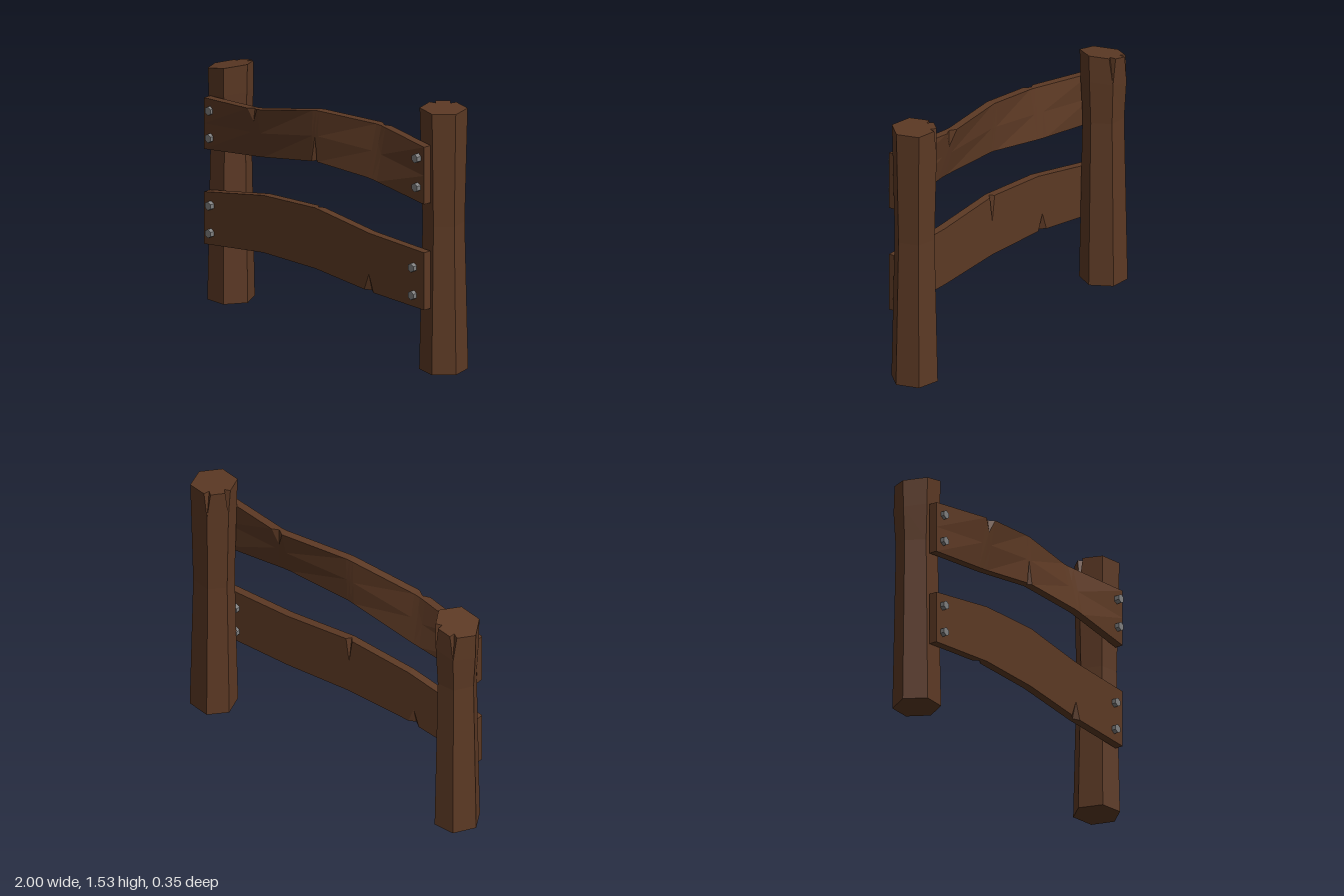
import * as THREE from 'three';

const wood = new THREE.MeshStandardMaterial({ color: 0x5c3924 });
wood.name = 'brown wood';
const iron = new THREE.MeshStandardMaterial({ color: 0x7f7f7f });
iron.name = 'grey iron';

// Collects triangles and quads into a flat-faceted mesh
function facets() {
  const pos = [];
  const tri = (a, b, c) => {
    const n = b.clone().sub(a).cross(c.clone().sub(a));
    if (n.length() > 1e-9) for (const p of [a, b, c]) pos.push(p.x, p.y, p.z);
  };
  const quad = (a, b, c, d, flip) => {
    if (flip) { tri(a, b, d); tri(b, c, d); } else { tri(a, b, c); tri(a, c, d); }
  };
  const mesh = (name) => {
    const g = new THREE.BufferGeometry();
    g.setAttribute('position', new THREE.Float32BufferAttribute(pos, 3));
    g.computeVertexNormals();
    const m = new THREE.Mesh(g, wood);
    m.name = name;
    return m;
  };
  return { tri, quad, mesh };
}

// Six-sided post with a waist, a sloping top and split corners
function makePost(name, corners, cracked, waistY, topY) {
  const f = facets();
  const cx = corners.reduce((s, p) => s + p[0], 0) / 6;
  const cz = corners.reduce((s, p) => s + p[1], 0) / 6;
  const ring = (scale, height, open) => {
    const pts = [];
    corners.forEach(([x, z], i) => {
      const at = (px, pz) => {
        const X = cx + (px - cx) * scale, Z = cz + (pz - cz) * scale;
        pts.push(new THREE.Vector3(X, height(X), Z));
      };
      if (!cracked.includes(i)) return at(x, z);
      const toward = (q, t) => at(x + (q[0] - x) * t, z + (q[1] - z) * t);
      toward(corners[(i + 5) % 6], open * 0.17);
      toward([cx, cz], open * 0.32);
      toward(corners[(i + 1) % 6], open * 0.17);
    });
    return pts;
  };
  const rings = [
    ring(1, () => 0, 0),
    ring(0.86, () => waistY, 0),
    ring(0.95, (x) => topY(x) - 0.16, 0),
    ring(0.98, topY, 1),
  ];
  const n = rings[0].length;
  for (let k = 0; k < 3; k++) {
    for (let i = 0; i < n; i++) {
      const j = (i + 1) % n;
      f.quad(rings[k][i], rings[k + 1][i], rings[k + 1][j], rings[k][j]);
    }
  }
  const bottom = new THREE.Vector3(cx, 0, cz), top = new THREE.Vector3(cx, topY(cx), cz);
  for (let i = 0; i < n; i++) {
    const j = (i + 1) % n;
    f.tri(bottom, rings[0][i], rings[0][j]);
    f.tri(top, rings[3][j], rings[3][i]);
  }
  return f.mesh(name);
}

// Board through sections [x, bottomY, topY, topZShift], with V-shaped cracks
// { x, half width, length, top edge?, back face? }
function makePlank(name, sections, cracks) {
  const f = facets();
  const sample = (x) => {
    let i = 0;
    while (i < sections.length - 2 && x > sections[i + 1][0]) i++;
    const a = sections[i], b = sections[i + 1], t = (x - a[0]) / (b[0] - a[0]);
    return a.map((v, k) => v + (b[k] - v) * t);
  };
  const xs = sections.map((s) => s[0])
    .filter((x) => cracks.every((c) => Math.abs(c.x - x) > c.w + 0.005));
  for (const c of cracks) xs.push(c.x - c.w, c.x, c.x + c.w);
  xs.sort((a, b) => a - b);

  const notched = new Set();
  const face = (isBack) => xs.map((x) => {
    const [, lo, hi, shift] = sample(x);
    const crack = cracks.find((c) => Math.abs(c.x - x) < 1e-6);
    let v = 0.5;
    if (crack) v = crack.top ? 1 - crack.len / (hi - lo) : crack.len / (hi - lo);
    return [0, v, 1].map((t, r) => {
      const p = new THREE.Vector3(x, lo + (hi - lo) * t, (isBack ? 0.068 : 0.116) + shift * t);
      if (crack && !!crack.back === isBack && r === (crack.top ? 2 : 0)) {
        p.z += isBack ? 0.025 : -0.025;
        notched.add(p);
      }
      return p;
    });
  });
  const F = face(false), B = face(true), last = xs.length - 1;
  const side = (a, b, c, d) => f.quad(a, b, c, d, notched.has(a) || notched.has(c));
  for (let i = 0; i < last; i++) {
    for (let r = 0; r < 2; r++) {
      side(F[i][r], F[i + 1][r], F[i + 1][r + 1], F[i][r + 1]);
      side(B[i + 1][r], B[i][r], B[i][r + 1], B[i + 1][r + 1]);
    }
    f.quad(F[i][2], F[i + 1][2], B[i + 1][2], B[i][2]);
    f.quad(B[i][0], B[i + 1][0], F[i + 1][0], F[i][0]);
  }
  for (let r = 0; r < 2; r++) {
    f.quad(B[0][r], F[0][r], F[0][r + 1], B[0][r + 1]);
    f.quad(F[last][r], B[last][r], B[last][r + 1], F[last][r + 1]);
  }
  return f.mesh(name);
}

export function createModel() {
  const model = new THREE.Group();
  model.name = 'woodenFence';

  // Posts
  model.add(makePost('rightPost',
    [[-0.73, -0.05], [-0.8, 0.07], [-0.93, 0.07], [-1, -0.05], [-0.93, -0.17], [-0.8, -0.17]],
    [4, 5], 0.98, (x) => 1.34 + (x + 1) * 0.2));
  model.add(makePost('leftPost',
    [[1, -0.02], [0.91, 0.08], [0.78, 0.055], [0.735, -0.08], [0.82, -0.175], [0.96, -0.15]],
    [3, 4], 0.86, (x) => 1.53 - (x - 0.735) * 0.03));

  // Rails
  model.add(makePlank('upperRail', [
    [-0.91, 0.895, 1.195, 0], [-0.44, 0.96, 1.25, 0.058], [0, 1.04, 1.335, -0.012],
    [0.44, 1.048, 1.345, -0.075], [0.885, 1.0, 1.335, 0],
  ], [
    { x: -0.46, w: 0.04, len: 0.075, top: true },
    { x: -0.01, w: 0.022, len: 0.145 },
    { x: 0.46, w: 0.04, len: 0.1, top: true, back: true },
  ]));
  model.add(makePlank('lowerRail', [
    [-0.91, 0.34, 0.645, 0], [-0.42, 0.405, 0.74, 0], [0, 0.413, 0.768, 0],
    [0.44, 0.385, 0.725, 0], [0.885, 0.382, 0.718, 0],
  ], [
    { x: 0.435, w: 0.037, len: 0.1 },
    { x: 0, w: 0.022, len: 0.15, top: true, back: true },
    { x: -0.46, w: 0.037, len: 0.1, back: true },
  ]));

  // Bolts
  const boltGeometry = new THREE.CylinderGeometry(0.026, 0.026, 0.1, 6).toNonIndexed();
  boltGeometry.rotateX(Math.PI / 2);
  boltGeometry.computeVertexNormals();
  const spots = [
    [-0.85, 1.135], [-0.85, 0.975], [0.835, 1.262], [0.835, 1.092],
    [-0.85, 0.58], [-0.85, 0.418], [0.803, 0.615], [0.803, 0.453],
  ];
  for (const [x, y] of spots) {
    const bolt = new THREE.Mesh(boltGeometry, iron);
    bolt.name = 'bolt';
    bolt.position.set(x, y, 0.092);
    model.add(bolt);
  }
  return model;
}
